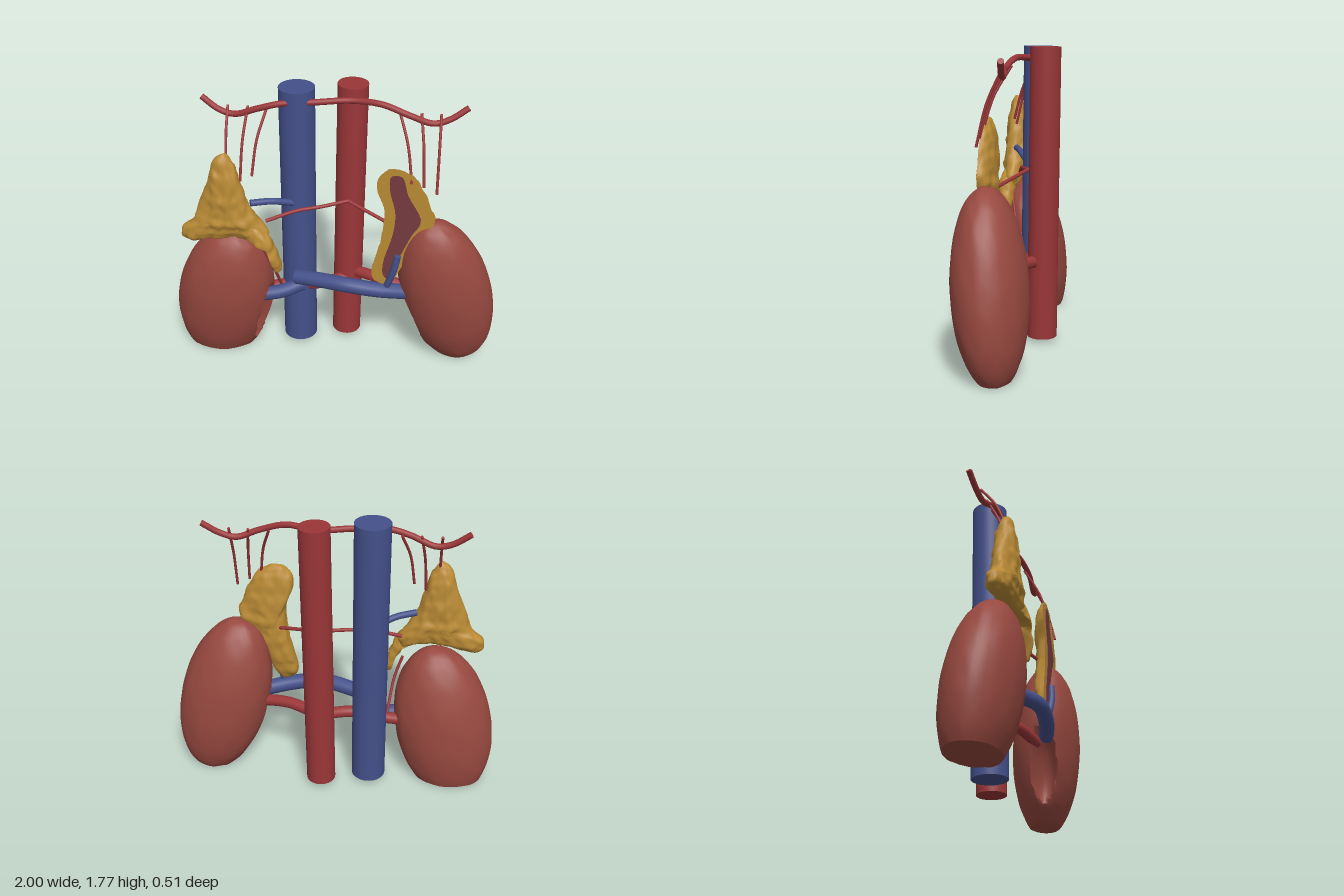
import * as THREE from 'three';
import { mergeGeometries, toCreasedNormals } from 'three/addons/utils/BufferGeometryUtils.js';

const mat = (color) => new THREE.MeshStandardMaterial({ color });
const RED = mat(0x9a3638), BLUE = mat(0x44508a), KIDNEY = mat(0x96483f);
const CORTEX = mat(0xb98a35), MEDULLA = mat(0x743a40);

// Smooth lumpy field, about -1..1
const lumps = (p, f) =>
  (Math.sin(p.x * f + 1.3 * Math.sin(p.y * f * 0.7)) +
   Math.sin(p.y * f * 1.1 + 1.7 * Math.sin(p.z * f * 0.8)) +
   Math.sin(p.z * f * 1.2 + 1.5 * Math.sin(p.x * f * 0.9))) / 3;

function addMesh(group, name, geometry, material) {
  const mesh = new THREE.Mesh(geometry, material);
  mesh.name = name;
  group.add(mesh);
  return mesh;
}

// Capped tube through a few points
function vessel(group, name, points, radius, material, steps = 32) {
  const curve = new THREE.CatmullRomCurve3(points.map((p) => new THREE.Vector3(...p)));
  const parts = [new THREE.TubeGeometry(curve, steps, radius, radius > 0.06 ? 40 : 14)];
  for (const t of [0, 1]) {
    const dir = curve.getTangent(t).multiplyScalar(t ? 1 : -1);
    const cap = new THREE.CircleGeometry(radius, radius > 0.06 ? 40 : 14);
    cap.applyQuaternion(new THREE.Quaternion().setFromUnitVectors(new THREE.Vector3(0, 0, 1), dir));
    cap.translate(...curve.getPoint(t).toArray());
    parts.push(cap);
  }
  return addMesh(group, name, mergeGeometries(parts), material);
}

// Leaning ellipsoid with a hollow on its inner side and a flat base
function kidney({ centre, radii, lean, inner, hilum }) {
  const geo = new THREE.SphereGeometry(1, 64, 48);
  const pos = geo.attributes.position;
  const p = new THREE.Vector3();
  const h = new THREE.Vector3(inner, hilum, 0.2).normalize();
  for (let i = 0; i < pos.count; i++) {
    p.fromBufferAttribute(pos, i);
    const d = Math.hypot((p.y - h.y) / 0.42, (p.z - h.z) / 0.36);
    const dent = p.x * inner > 0 && d < 1 ? 0.12 * (1 - d * d) ** 0.7 : 0;
    p.multiplyScalar(1 + 0.008 * lumps(p, 9) + 0.005 * lumps(p, 17));
    const y = centre[1] + radii[1] * p.y;
    pos.setXYZ(i,
      centre[0] + radii[0] * p.x + lean * p.y - inner * dent,
      Math.max(0, y),
      centre[2] + radii[2] * p.z + 0.045 * p.y);
  }
  return toCreasedNormals(geo, 0.6);
}

// Closed smooth outline, counterclockwise
function smoothOutline(points, count) {
  const pts = points.map((p) => new THREE.Vector3(p[0], p[1], 0));
  if (THREE.ShapeUtils.isClockWise(pts)) pts.reverse();
  const curve = new THREE.CatmullRomCurve3(pts, true, 'centripetal');
  return Array.from({ length: count }, (_, i) => curve.getPoint(i / count));
}

// Lumpy cushion that fills an outline; flatFront leaves a cut face
function cushion(points, centre, z, thickness, bump, flatFront = false) {
  const n = 90, rows = 40;
  const outline = smoothOutline(points, n);
  const geo = new THREE.SphereGeometry(1, n, rows);
  const pos = geo.attributes.position;
  const c = new THREE.Vector3(centre[0], centre[1], 0);
  const p = new THREE.Vector3();
  for (let i = 0; i < pos.count; i++) {
    const col = i % (n + 1), row = Math.floor(i / (n + 1));
    const theta = (row / rows) * Math.PI;
    const r = row === 0 || row === rows ? 0 : Math.sin(theta);
    p.copy(c).lerp(outline[col % n], r);
    const k = Math.cos(theta);
    p.z = z + thickness * Math.sign(k) * Math.abs(k) ** 0.8;
    const b = bump * (lumps(p, 45) + 0.7 * lumps(p, 80));
    const out = p.clone().sub(c).setZ(0).normalize();
    p.addScaledVector(out, b * r);
    p.z += b * k;
    if (flatFront && k > -0.01) p.z = z;
    pos.setXYZ(i, p.x, p.y, p.z);
  }
  return toCreasedNormals(geo, 0.9);
}

export function createModel() {
  const model = new THREE.Group();
  model.name = 'kidneysAndAdrenalGlands';

  // Kidneys
  addMesh(model, 'rightKidney', kidney({
    centre: [-0.685, 0.374, 0.035], radii: [0.305, 0.526, 0.212], lean: 0.07, inner: 1, hilum: -0.2,
  }), KIDNEY);
  addMesh(model, 'leftKidney', kidney({
    centre: [0.7, 0.49, 0.035], radii: [0.285, 0.54, 0.212], lean: -0.1, inner: -1, hilum: -0.28,
  }), KIDNEY);

  // Right adrenal gland: three-cornered body and a tail down the inner side
  const rightGland = new THREE.Group();
  rightGland.name = 'rightAdrenalGland';
  model.add(rightGland);
  addMesh(rightGland, 'glandBody', cushion([
    [-0.62, 1.44], [-0.565, 1.39], [-0.53, 1.25], [-0.47, 1.08], [-0.38, 0.93], [-0.4, 0.87],
    [-0.52, 0.89], [-0.68, 0.88], [-0.83, 0.85], [-0.9, 0.87], [-0.89, 0.94], [-0.82, 1.0],
    [-0.76, 1.15], [-0.7, 1.32], [-0.675, 1.4],
  ], [-0.61, 1.02], 0.14, 0.075, 0.011), CORTEX);
  addMesh(rightGland, 'glandTail', cushion([
    [-0.47, 0.99], [-0.37, 0.91], [-0.315, 0.78], [-0.3, 0.69], [-0.33, 0.66], [-0.365, 0.76],
    [-0.42, 0.86], [-0.5, 0.9],
  ], [-0.38, 0.84], 0.17, 0.05, 0.008), CORTEX);

  // Left adrenal gland: cut open at the front to show its core
  const leftGland = new THREE.Group();
  leftGland.name = 'leftAdrenalGland';
  model.add(leftGland);
  addMesh(leftGland, 'glandCortex', cushion([
    [0.36, 1.39], [0.275, 1.34], [0.26, 1.26], [0.31, 1.1], [0.29, 0.9], [0.24, 0.67], [0.26, 0.61],
    [0.35, 0.6], [0.42, 0.72], [0.51, 0.93], [0.6, 1.04], [0.56, 1.18], [0.5, 1.3], [0.43, 1.37],
  ], [0.39, 0.98], 0.13, 0.08, 0.008, true), CORTEX);
  const core = new THREE.Shape(smoothOutline([
    [0.34, 1.34], [0.4, 1.34], [0.44, 1.22], [0.52, 1.05], [0.47, 0.95], [0.42, 0.83], [0.37, 0.7],
    [0.34, 0.63], [0.31, 0.66], [0.31, 0.75], [0.36, 0.95], [0.37, 1.1], [0.335, 1.25],
  ], 60).map((p) => new THREE.Vector2(p.x, p.y)));
  addMesh(leftGland, 'glandMedulla',
    new THREE.ExtrudeGeometry(core, { depth: 0.008, bevelEnabled: false }), MEDULLA)
    .position.z = 0.126;

  // Main trunks
  vessel(model, 'venaCava', [[-0.225, 0.03, -0.065], [-0.22, 1.77, -0.085]], 0.105, BLUE, 4);
  vessel(model, 'aorta', [[0.07, 0.03, -0.145], [0.095, 1.77, -0.165]], 0.09, RED, 4);

  // Renal vessels
  vessel(model, 'leftRenalVein', [[-0.23, 0.54, 0.04], [-0.08, 0.56, 0.09], [0.1, 0.57, 0.14],
    [0.28, 0.545, 0.135], [0.48, 0.51, 0.09]], 0.048, BLUE);
  vessel(model, 'rightRenalVein', [[-0.2, 0.46, 0.0], [-0.33, 0.425, 0.05], [-0.5, 0.41, 0.08]], 0.045, BLUE);
  vessel(model, 'rightRenalArtery', [[0.09, 0.47, -0.1], [-0.1, 0.455, -0.02], [-0.25, 0.44, -0.03],
    [-0.48, 0.4, 0.0]], 0.036, RED);
  vessel(model, 'leftRenalArtery', [[0.09, 0.5, -0.13], [0.28, 0.51, -0.04], [0.5, 0.48, 0.02]], 0.036, RED);

  // Adrenal veins
  vessel(model, 'rightAdrenalVein', [[-0.48, 1.11, 0.12], [-0.36, 1.1, 0.07], [-0.24, 1.06, 0.01]], 0.02, BLUE);
  vessel(model, 'leftAdrenalVein', [[0.395, 0.81, 0.145], [0.375, 0.71, 0.15], [0.33, 0.56, 0.13]], 0.021, BLUE);

  // Upper artery sweeping across both sides, with three fine branches each
  vessel(model, 'upperArtery', [[-0.76, 1.705, -0.045], [-0.66, 1.635, -0.03], [-0.57, 1.615, -0.02],
    [-0.43, 1.665, 0], [-0.3, 1.7, 0], [-0.1, 1.705, -0.03], [0.09, 1.705, -0.07], [0.27, 1.71, -0.025],
    [0.43, 1.66, 0], [0.56, 1.615, -0.01], [0.65, 1.64, -0.02], [0.75, 1.705, -0.04]], 0.018, RED, 80);
  const branches = [[-0.605, -0.605, 1.4], [-0.49, -0.53, 1.26], [-0.38, -0.46, 1.3],
    [0.37, 0.455, 1.3], [0.49, 0.525, 1.28], [0.6, 0.6, 1.24]];
  for (const [x0, x1, y1] of branches) {
    const mid = x0 + (x1 - x0) * 0.65;
    vessel(model, 'upperAdrenalArtery',
      [[x0, 1.67, -0.02], [mid, 1.67 + (y1 - 1.67) * 0.45, 0.07], [x1, y1, 0.13]], 0.008, RED, 20);
  }

  // Middle and lower adrenal arteries
  vessel(model, 'rightMiddleAdrenalArtery', [[0.08, 1.05, -0.06], [-0.08, 1.035, 0.0], [-0.22, 1.02, 0.035],
    [-0.4, 0.965, 0.08]], 0.011, RED);
  vessel(model, 'leftMiddleAdrenalArtery', [[0.08, 1.05, -0.06], [0.2, 1.02, 0.0], [0.36, 0.98, 0.08]], 0.011, RED);
  vessel(model, 'rightLowerAdrenalArtery', [[-0.41, 0.79, 0.13], [-0.365, 0.65, 0.1], [-0.33, 0.44, 0.0]], 0.009, RED);

  return model;
}
